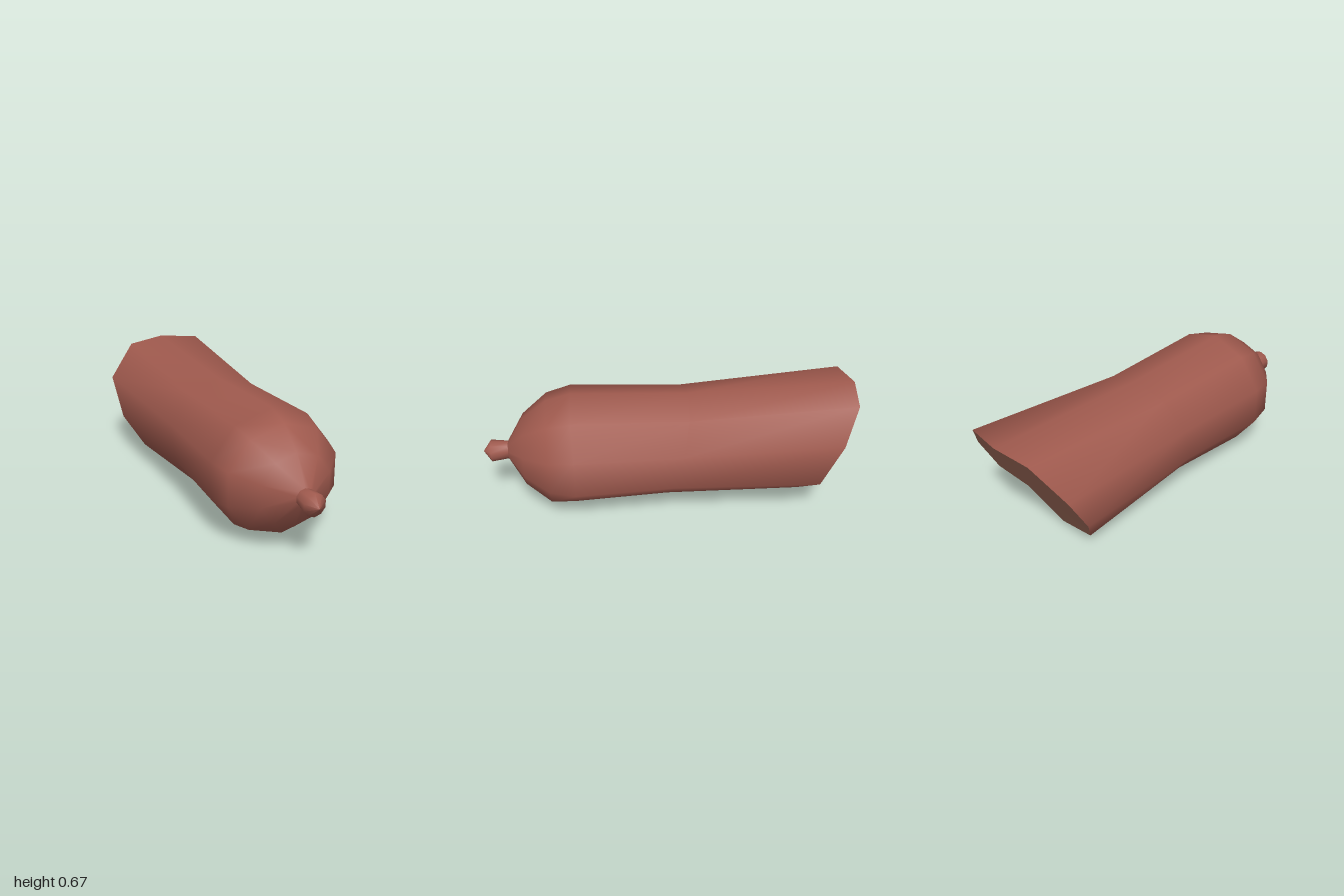
import * as THREE from 'three';

const SIDES = 10;
const CX = 0.01, CY = 0.345;

// Ring of points, starting at the top and running toward +x
function ring(z, rx, ry = rx, tilt = 0, cy = CY) {
  return Array.from({ length: SIDES }, (_, k) => {
    const a = (k / SIDES) * Math.PI * 2;
    return [CX + Math.sin(a) * rx, cy + Math.cos(a) * ry, z - Math.cos(a) * tilt];
  });
}

// Skin a list of rings, front to back, with shared vertices for smooth normals
function loft(rings) {
  const index = [];
  for (let i = 0; i < rings.length - 1; i++) {
    for (let k = 0; k < SIDES; k++) {
      const n = (k + 1) % SIDES;
      const a = i * SIDES + k, b = i * SIDES + n;
      index.push(a, b, a + SIDES, b, b + SIDES, a + SIDES);
    }
  }
  const g = new THREE.BufferGeometry();
  g.setAttribute('position', new THREE.Float32BufferAttribute(rings.flat(2), 3));
  g.setIndex(index);
  g.computeVertexNormals();
  return g;
}

export function createModel() {
  const group = new THREE.Group();
  const skin = new THREE.MeshStandardMaterial({ color: 0xa05a4e });
  skin.name = 'sausage skin';
  const meat = new THREE.MeshStandardMaterial({ color: 0xa06c5a });
  meat.name = 'cut meat';

  const add = (name, geometry, material) => {
    const mesh = new THREE.Mesh(geometry, material);
    mesh.name = name;
    group.add(mesh);
  };

  // Slanted, slightly uneven cut edge
  const cut = [
    [0.01, 0.645, -1.0], [0.23, 0.625, -0.965], [0.345, 0.455, -0.875],
    [0.36, 0.24, -0.76], [0.23, 0.13, -0.675], [0.01, 0.003, -0.635],
    [-0.24, 0.07, -0.66], [-0.34, 0.24, -0.75], [-0.36, 0.455, -0.875],
    [-0.2, 0.625, -0.965],
  ];

  // The lower left side is flattened along the whole length
  const bulge = ring(0.52, 0.338, 0.325);
  const waist = ring(-0.02, 0.322, 0.297, 0.08, 0.337);
  bulge[4] = [0.215, 0.125, 0.52];
  waist[4] = [0.2, 0.13, 0.03];

  // Body with rounded front end
  add('body', loft([
    ring(0.87, 0.04), ring(0.78, 0.19), ring(0.65, 0.305, 0.29), bulge, waist, cut,
  ]), skin);

  // Tied casing knot at the front
  add('knot', loft([
    ring(0.997, 0), ring(0.955, 0.059), ring(0.86, 0.047),
  ]), skin);

  // Flat cut face
  const pts = [[0, 0.35, -0.82], ...cut];
  const index = [];
  for (let k = 0; k < SIDES; k++) index.push(0, k + 1, ((k + 1) % SIDES) + 1);
  const capGeometry = new THREE.BufferGeometry();
  capGeometry.setAttribute('position', new THREE.Float32BufferAttribute(pts.flat(), 3));
  capGeometry.setIndex(index);
  capGeometry.computeVertexNormals();
  add('cutFace', capGeometry, meat);

  return group;
}
